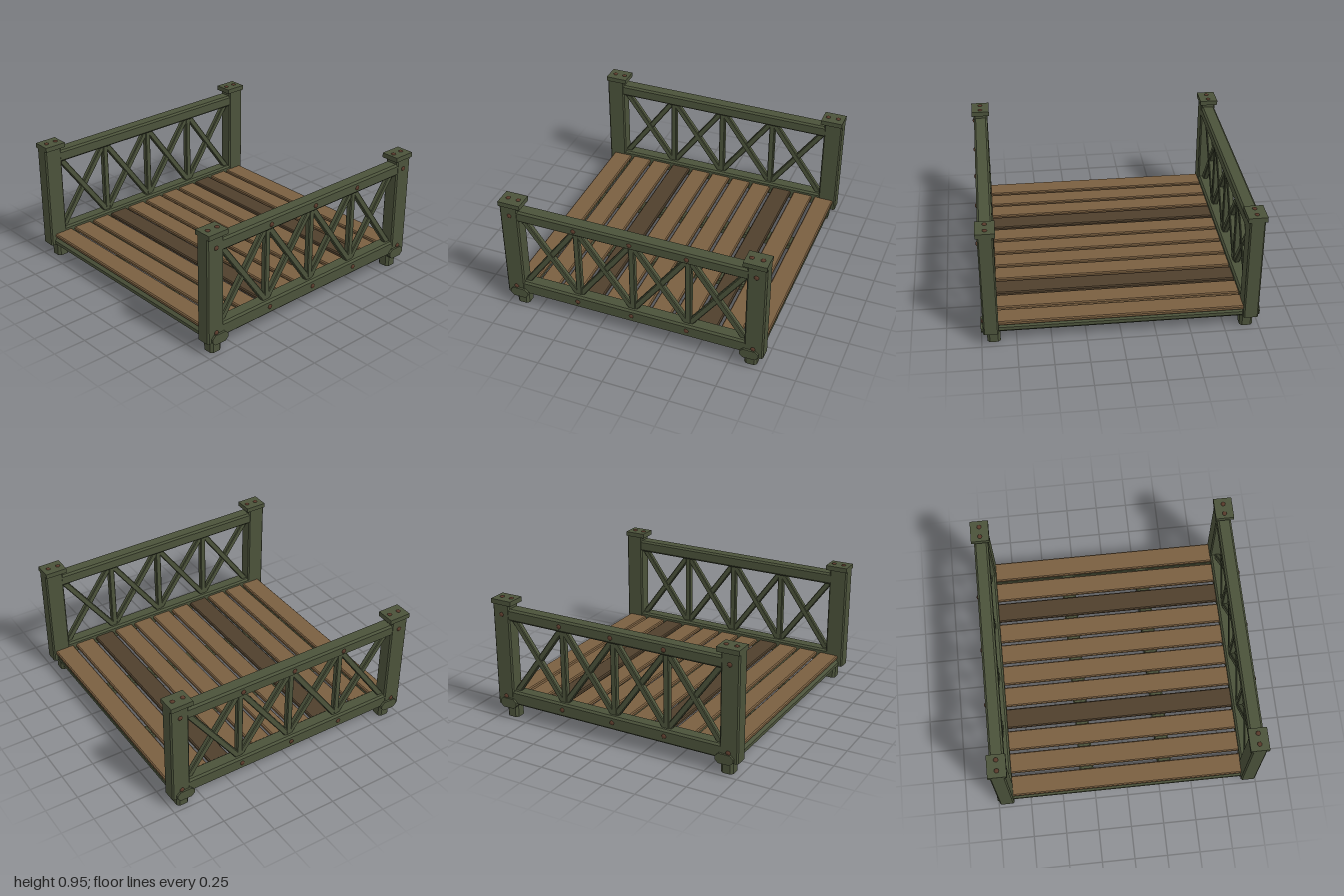
import * as THREE from 'three';

const mat = (name, color) => {
  const m = new THREE.MeshStandardMaterial({ color });
  m.name = name;
  return m;
};

// Bar with chamfered long edges, running along 'x', 'y' or 'z'.
// The sizes sx, sy, sz are the full extents of the bar.
function bar(axis, sx, sy, sz, c) {
  const [w, h, len] = axis === 'z' ? [sx, sy, sz] : axis === 'x' ? [sz, sy, sx] : [sx, sz, sy];
  const a = w / 2, b = h / 2;
  const shape = new THREE.Shape([
    [a - c, -b], [a, -b + c], [a, b - c], [a - c, b],
    [-a + c, b], [-a, b - c], [-a, -b + c], [-a + c, -b],
  ].map(([x, y]) => new THREE.Vector2(x, y)));
  const g = new THREE.ExtrudeGeometry(shape, { depth: len, bevelEnabled: false });
  g.translate(0, 0, -len / 2);
  if (axis === 'x') g.rotateY(Math.PI / 2);
  if (axis === 'y') g.rotateX(Math.PI / 2);
  return g;
}

export function createModel() {
  const root = new THREE.Group();
  root.name = 'footbridge';
  const green = mat('green paint', 0x4b523a);
  const wood = mat('plank wood', 0x7a5f40);
  const darkWood = mat('dark plank wood', 0x4f3f2c);
  const rust = mat('rusty bolt', 0x57392a);

  const add = (parent, name, geo, material, x, y, z) => {
    const m = new THREE.Mesh(geo, material);
    m.name = name;
    m.position.set(x, y, z);
    parent.add(m);
    return m;
  };

  // Deck planks, two of them darker
  const plankGeo = bar('x', 1.78, 0.032, 0.155, 0.008);
  for (let i = 0; i < 11; i++) {
    add(root, 'plank', plankGeo, i === 2 || i === 7 ? darkWood : wood, 0, 0.178, -0.902 + i * 0.1785);
  }

  // Frame under the deck: end beams, cross beams and joists
  const endBeam = bar('x', 2, 0.075, 0.14, 0.025);
  for (const z of [-0.9, 0.9]) add(root, 'endBeam', endBeam, green, 0, 0.127, z);
  const crossBeam = bar('x', 1.8, 0.06, 0.08, 0.01);
  for (const z of [-0.54, 0, 0.53]) add(root, 'crossBeam', crossBeam, green, 0, 0.127, z);
  const joist = bar('z', 0.105, 0.06, 1.8, 0.01);
  for (const x of [-0.3, 0.3]) add(root, 'joist', joist, green, x, 0.132, 0);

  // Shared railing shapes
  const postGeo = bar('y', 0.11, 0.81, 0.142, 0.01);
  const capGeo = new THREE.BoxGeometry(0.138, 0.036, 0.17);
  const footGeo = bar('y', 0.095, 0.1, 0.095, 0.018);
  const topRail = bar('z', 0.106, 0.092, 1.74, 0.014);
  const bottomRail = bar('z', 0.106, 0.108, 1.74, 0.014);
  const upright = bar('y', 0.045, 0.58, 0.045, 0.006);
  const boltGeo = new THREE.SphereGeometry(0.018, 10, 4, 0, Math.PI * 2, 0, Math.PI / 2);
  boltGeo.scale(1, 0.65, 1);

  // Diagonal brace size
  const dz = 0.41, dy = 0.57;
  const brace = bar('y', 0.04, Math.hypot(dz, dy) + 0.02, 0.045, 0.006);
  const tilt = Math.atan2(dz, dy);

  for (const s of [-1, 1]) {
    const side = new THREE.Group();
    side.name = s > 0 ? 'leftRailing' : 'rightRailing';
    root.add(side);
    const x = s * 0.93;

    // Corner posts with cap, foot and bolts
    for (const e of [-1, 1]) {
      add(side, 'post', postGeo, green, x, 0.51, e * 0.929);
      add(side, 'postCap', capGeo, green, x, 0.923, e * 0.915);
      add(side, 'foot', footGeo, green, s * 0.912, 0.05, e * 0.9);
      for (const z of [0.87, 0.95]) add(side, 'capBolt', boltGeo, rust, x, 0.939, e * z);
    }

    // Rails and uprights
    add(side, 'topRail', topRail, green, x, 0.828, 0);
    add(side, 'bottomRail', bottomRail, green, x, 0.171, 0);
    for (const z of [-0.425, 0, 0.425]) add(side, 'upright', upright, green, x, 0.505, z);

    // Crossed braces in four bays
    for (const z of [-0.64, -0.2125, 0.2125, 0.64]) {
      for (const d of [-1, 1]) {
        add(side, 'brace', brace, green, x + d * 0.002, 0.505, z).rotation.x = d * tilt;
      }
    }

    // Outer bolts along both rails
    for (const y of [0.175, 0.825]) {
      for (const z of [-0.925, -0.425, 0, 0.425, 0.925]) {
        const outer = Math.abs(z) > 0.9 ? 0.984 : 0.982;
        add(side, 'railBolt', boltGeo, rust, s * outer, y, z).rotation.z = -s * Math.PI / 2;
      }
    }
  }
  return root;
}
